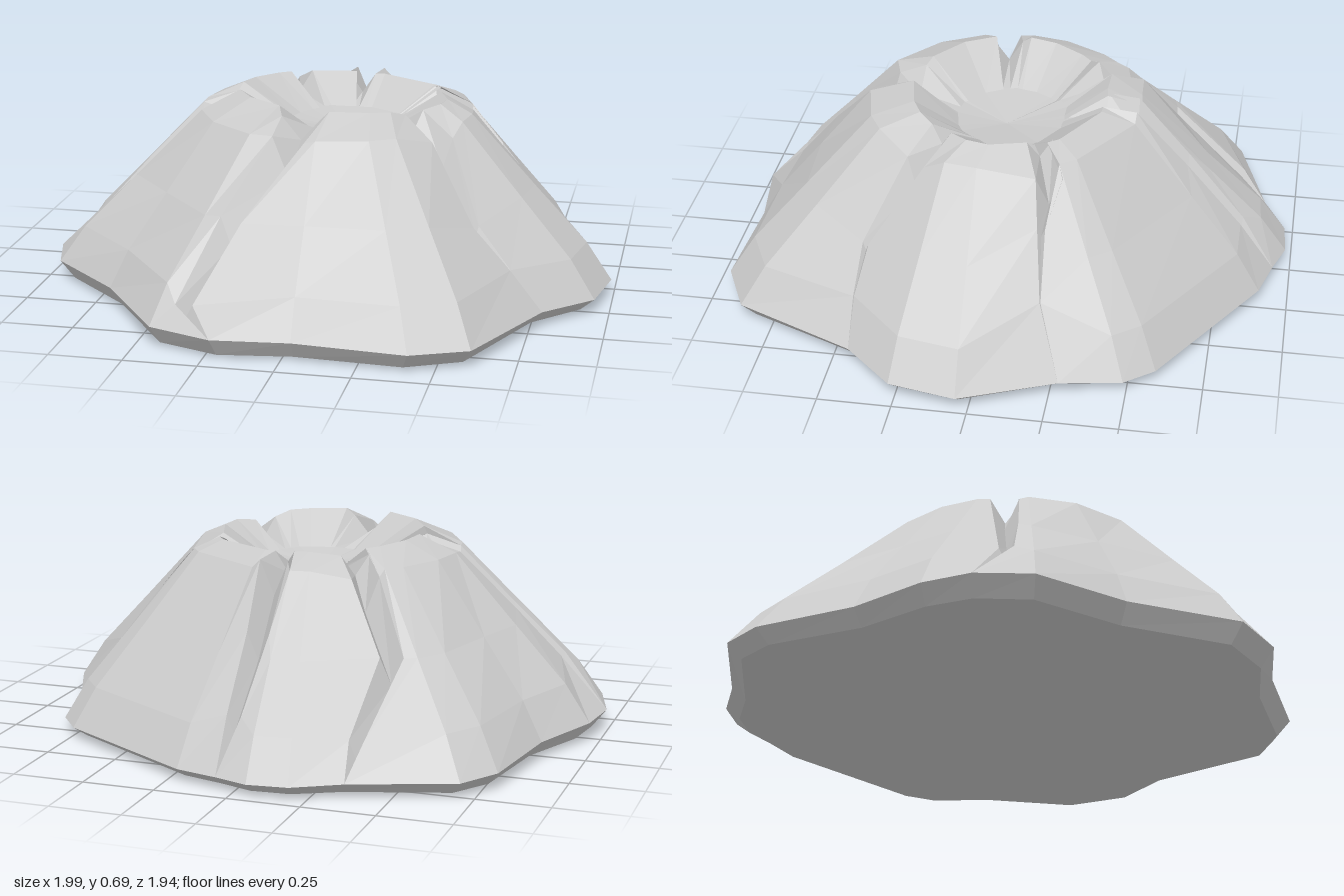
import * as THREE from 'three';

const SHOULDER_R = 0.48;

// Ground outline as [x, z]
const OUTLINE = [
  [0.99, 0.04], [0.95, 0.27], [0.61, 0.86], [0.42, 0.95], [0.04, 0.93], [-0.44, 0.89],
  [-0.68, 0.55], [-0.94, 0.31], [-0.97, -0.05], [-0.86, -0.3], [-0.8, -0.65], [-0.71, -0.78],
  [-0.2, -0.97], [-0.06, -0.98], [0.21, -0.9], [0.73, -0.59], [0.81, -0.49],
];

// Gullies: path from foot to shoulder as [x, z], half width, depth, and how fast it fades downhill
const GULLIES = [
  { path: [[-0.22, 0.965], [-0.33, 0.86], [-0.22, 0.66], [-0.07, 0.47]], width: 0.07, depth: 0.13, fade: 0.8 },
  { path: [[-0.36, -0.89], [-0.37, -0.8], [-0.41, -0.55], [-0.27, -0.4]], width: 0.05, depth: 0.12, fade: 0.6 },
  { path: [[0.06, -0.94], [0.04, -0.82], [0.03, -0.62], [0.04, -0.44]], width: 0.05, depth: 0.12, fade: 0.6 },
  { path: [[-0.995, 0.12], [-0.82, 0.19], [-0.65, 0.15], [-0.46, 0.1]], width: 0.05, depth: 0.12, fade: 0.6 },
  { path: [[0.79, 0.44], [0.68, 0.44], [0.56, 0.42], [0.42, 0.27]], width: 0.045, depth: 0.1, fade: 3 },
  { path: [[0.85, -0.28], [0.72, -0.2], [0.57, -0.18], [0.46, -0.19]], width: 0.045, depth: 0.1, fade: 3 },
];

const vec = (x, y, z) => new THREE.Vector3(x, y, z);

// Foot of the slope, a little higher at the front and right
function footPoint([x, z]) {
  return vec(x, 0.06 - 0.012 * x + 0.015 * z, z);
}

// Every column runs: bottom centre, base, foot, low, mid, shoulder, rim, crater floor, crater centre
function column(stations) {
  const foot = stations[0], rim = stations[4];
  return [
    vec(0, 0, 0), vec(foot.x * 0.95, 0.01, foot.z * 0.95),
    ...stations,
    vec(0.03 + rim.x * 0.55, 0.57, rim.z * 0.55), vec(0.04, 0.54, 0.02),
  ];
}

// Plain slope rising from one outline point
function slope(point) {
  const foot = footPoint(point);
  const a = Math.atan2(foot.z, foot.x), c = Math.cos(a), s = Math.sin(a);
  const shoulder = vec(0.01 + SHOULDER_R * c, 0.625, 0.03 + SHOULDER_R * s);
  const rim = vec(0.03 + 0.37 * c, 0.675 - 0.01 * c + 0.012 * s, 0.01 + 0.34 * s);
  const low = foot.clone().lerp(shoulder, 0.18).add(vec(0, 0.03, 0));
  const mid = foot.clone().lerp(shoulder, 0.55).add(vec(0, 0.015, 0));
  return { angle: a, columns: [column([foot, low, mid, shoulder, rim])] };
}

// Gully: its path becomes lip, sunken bed, lip
function gully({ path, width, depth, fade }) {
  const foot = footPoint(path[0]);
  const reach = Math.hypot(foot.x, foot.z) - SHOULDER_R;
  const points = path.map(([x, z], i) => {
    const climb = 1 - (Math.hypot(x, z) - SHOULDER_R) / reach;
    return i ? vec(x, 0.08 + 0.53 * climb, z) : foot;
  });
  points.push(vec(points[3].x * 0.74, 0.66, points[3].z * 0.74));

  const offset = (side, sink) => points.map((p, i) => {
    const out = points[Math.max(i - 1, 0)].clone().sub(points[Math.min(i + 1, 4)]);
    const across = vec(-out.z, 0, out.x).normalize();
    const open = (Math.min(i, 3) / 3) ** fade;
    const q = p.clone().addScaledVector(across, side * width * open);
    q.y -= sink * open * (i === 4 ? 0.6 : 1);
    return q;
  });
  const columns = [offset(-1, 0), offset(0, depth), offset(1, 0)].map(column);
  return { angle: Math.atan2(foot.z, foot.x), columns };
}

// Join neighbouring columns, leaving out collapsed triangles
function skin(columns) {
  const points = [];
  const addTriangle = (a, b, c) => {
    if (new THREE.Triangle(a, b, c).getArea() > 1e-7) points.push(a, b, c);
  };
  columns.forEach((col, i) => {
    const next = columns[(i + 1) % columns.length];
    for (let k = 0; k < col.length - 1; k++) {
      addTriangle(col[k], col[k + 1], next[k]);
      addTriangle(next[k], col[k + 1], next[k + 1]);
    }
  });
  const geometry = new THREE.BufferGeometry().setFromPoints(points);
  geometry.computeVertexNormals();
  return geometry;
}

export function createModel() {
  const group = new THREE.Group();
  group.name = 'crateredHill';

  // Slopes and gullies in order around the hill
  const columns = [...OUTLINE.map(slope), ...GULLIES.map(gully)]
    .sort((a, b) => a.angle - b.angle)
    .flatMap((sector) => sector.columns);

  const rock = new THREE.MeshStandardMaterial({ color: 0xcccccc, flatShading: true });
  const hill = new THREE.Mesh(skin(columns), rock);
  hill.name = 'rockyHill';
  group.add(hill);
  return group;
}
